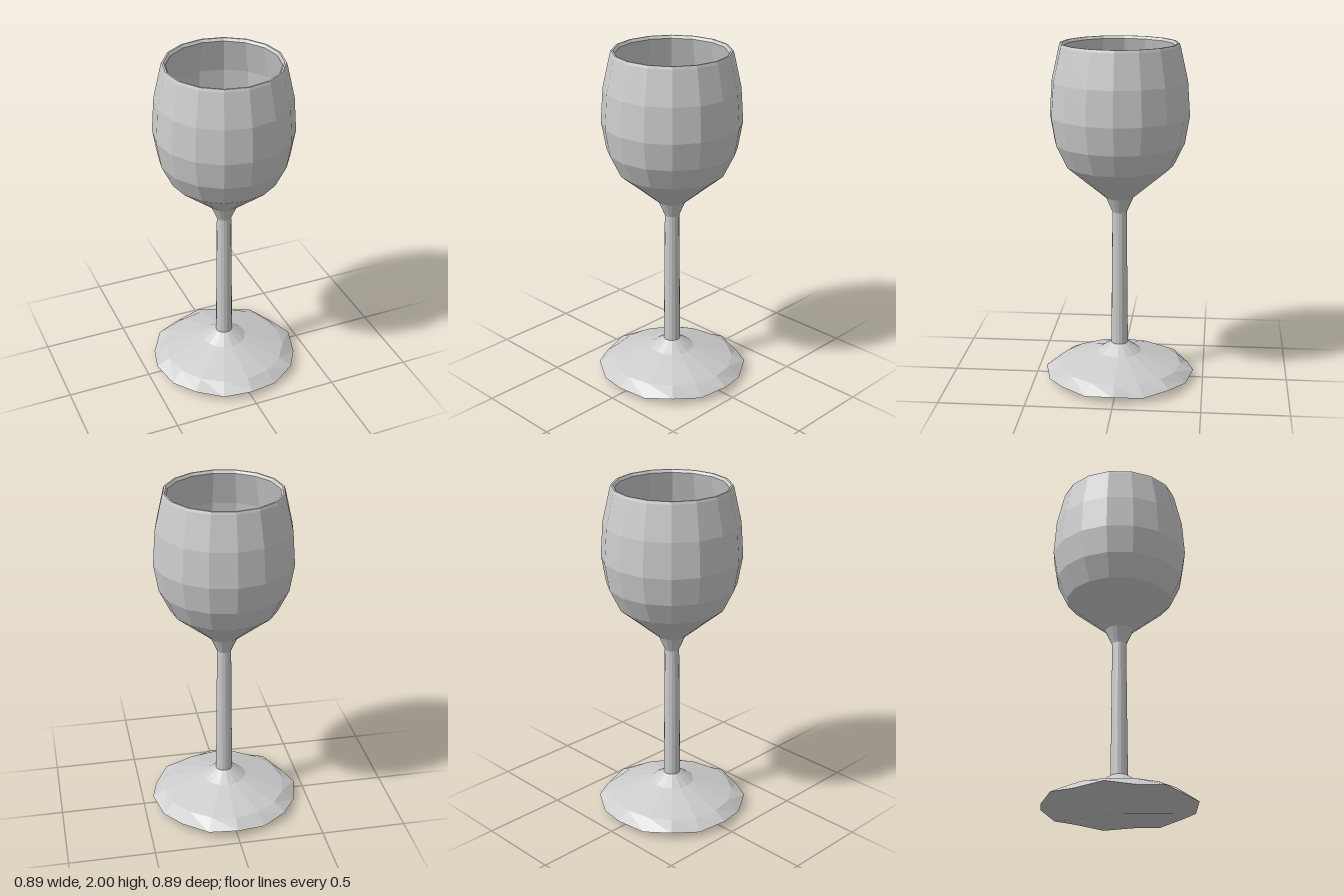
import * as THREE from 'three';

const SIDES = 16;
const material = new THREE.MeshStandardMaterial({ color: 0xcccccc, flatShading: true });

// Faceted lathe. A profile point is [radius, y] or, for a pleated ring,
// [radius, y, oddRadius, oddY], where every second corner uses the odd values.
function turned(name, profile) {
  const geo = new THREE.LatheGeometry(profile.map(([r, y]) => new THREE.Vector2(r, y)), SIDES);
  const pos = geo.attributes.position;
  for (let i = 1; i < SIDES; i += 2) {
    const a = (i / SIDES) * Math.PI * 2;
    profile.forEach(([, , r, y], j) => {
      if (r !== undefined) pos.setXYZ(i * profile.length + j, r * Math.sin(a), y, r * Math.cos(a));
    });
  }
  geo.computeVertexNormals();
  const mesh = new THREE.Mesh(geo, material);
  mesh.name = name;
  return mesh;
}

export function createModel() {
  const glass = new THREE.Group();
  glass.name = 'wineGlass';

  // Foot: pleated underside, wavy rim, sloping top
  glass.add(turned('foot', [
    [0, 0], [0.443, 0.045, 0.435, 0.027], [0.365, 0.085], [0.13, 0.16], [0.055, 0.212], [0.045, 0.215],
  ]));

  // Stem, slightly narrower at the top
  glass.add(turned('stem', [[0.05, 0.212], [0.046, 0.6], [0.042, 1.02]]));

  // Bowl: outer wall upward, rounded lip, inner wall down to a pleated bottom
  glass.add(turned('bowl', [
    [0.042, 1.02], [0.08, 1.107], [0.31, 1.3], [0.373, 1.43], [0.4, 1.59], [0.386, 1.79],
    [0.342, 1.985], [0.336, 2], [0.326, 2], [0.315, 1.985],
    [0.36, 1.79], [0.373, 1.59], [0.347, 1.44], [0.28, 1.33, 0.245, 1.275], [0, 1.25],
  ]));

  return glass;
}
